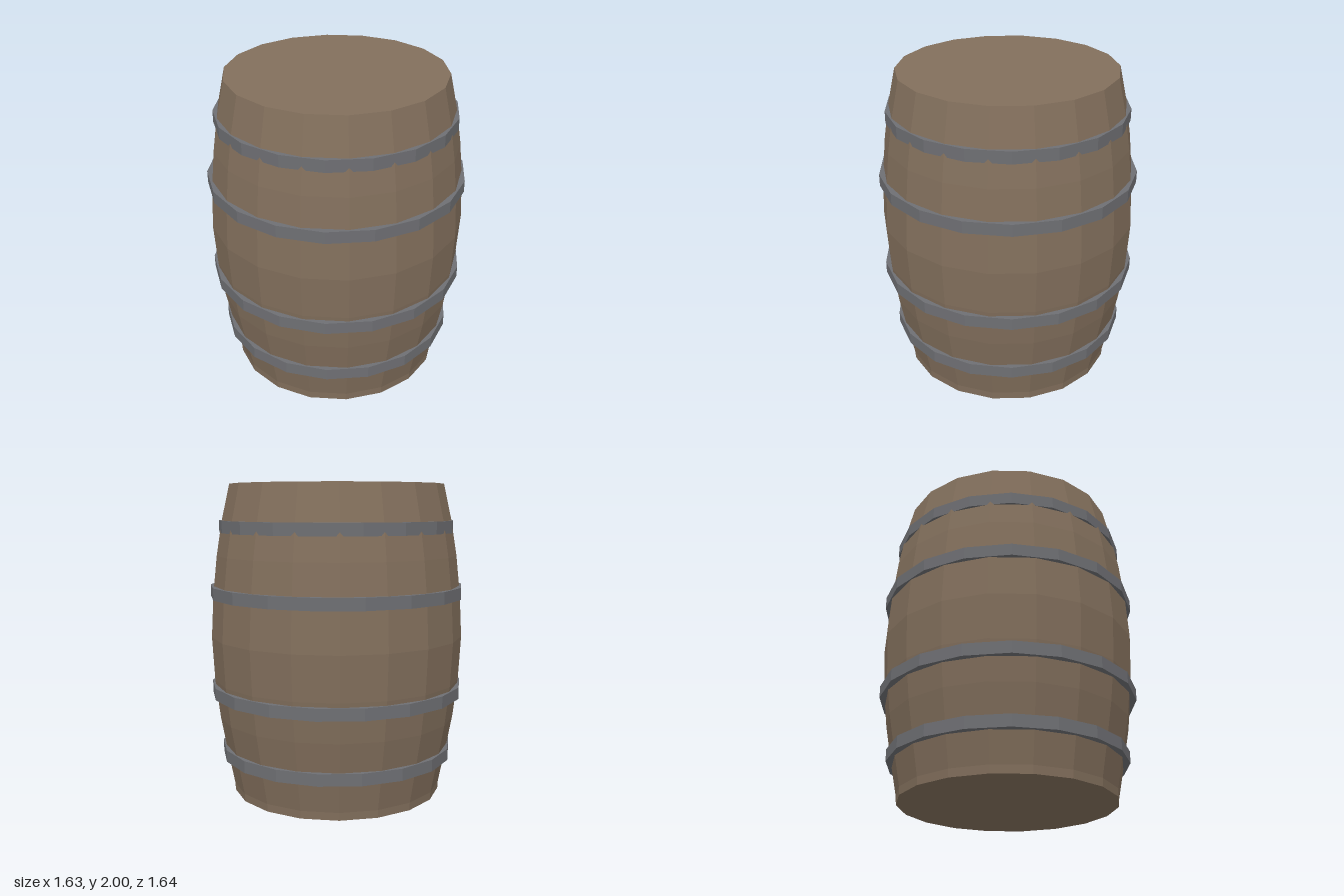
import * as THREE from 'three';

const SIDES = 18;

export function createModel() {
  const model = new THREE.Group();
  model.name = 'barrel';

  const wood = new THREE.MeshStandardMaterial({ color: 0x826f5c, flatShading: true });
  wood.name = 'brown wood';
  const iron = new THREE.MeshStandardMaterial({ color: 0x6e6f73, flatShading: true });
  iron.name = 'grey iron';

  // Bulging wooden body with flat lids; corners lie on the x axis
  const profile = [
    [0, 0], [0.682, 0], [0.685, 0.05], [0.73, 0.28], [0.77, 0.5], [0.8, 0.75],
    [0.815, 1.03], [0.8, 1.3], [0.773, 1.55], [0.737, 1.77], [0.685, 2], [0, 2],
  ].map(([r, y]) => new THREE.Vector2(r, y));
  const body = new THREE.Mesh(new THREE.LatheGeometry(profile, SIDES, Math.PI / 2), wood);
  body.name = 'woodenBody';
  model.add(body);

  // Iron hoops, turned half a side from the body so corners lie on the z axis
  const hoops = new THREE.Group();
  hoops.name = 'hoops';
  for (const [y, radius] of [[0.275, 0.757], [0.685, 0.82], [1.32, 0.82], [1.733, 0.757]]) {
    const hoop = new THREE.Mesh(new THREE.CylinderGeometry(radius, radius, 0.076, SIDES), iron);
    hoop.name = 'hoop';
    hoop.position.y = y;
    hoops.add(hoop);
  }
  model.add(hoops);

  return model;
}
